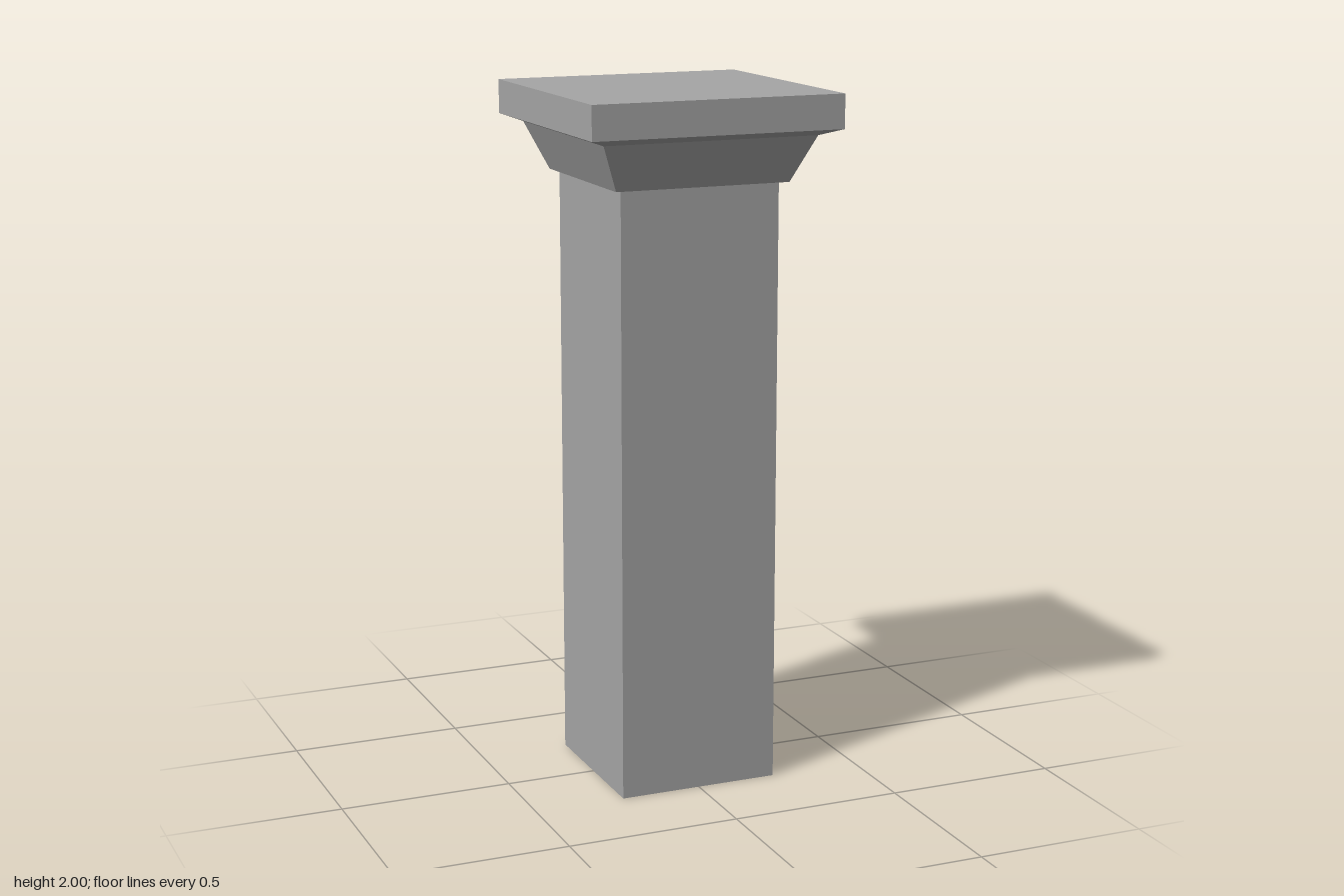
import * as THREE from 'three';

const stone = new THREE.MeshStandardMaterial({ color: 0xa6a6a6 });
stone.name = 'stone grey';

// Square solid from a profile of [half width, height] pairs, listed bottom to top
function squareTurned(name, profile) {
  const points = profile.map(([half, y]) => new THREE.Vector2(half * Math.SQRT2, y));
  const geometry = new THREE.LatheGeometry(points, 4, Math.PI / 4).toNonIndexed();
  geometry.computeVertexNormals(); // flat faces
  const mesh = new THREE.Mesh(geometry, stone);
  mesh.name = name;
  return mesh;
}

export function createModel() {
  const pillar = new THREE.Group();
  pillar.name = 'pillar';

  // Plain square shaft, closed at the foot
  pillar.add(squareTurned('shaft', [[0, 0], [0.236, 0], [0.236, 1.75]]));

  // Flared neck with a narrow ledge below it
  pillar.add(squareTurned('flaredNeck', [[0.236, 1.75], [0.258, 1.75], [0.316, 1.883]]));

  // Top slab with a shallow sloping underside
  pillar.add(squareTurned('topSlab', [[0.316, 1.883], [0.37, 1.903], [0.37, 2], [0, 2]]));

  return pillar;
}
